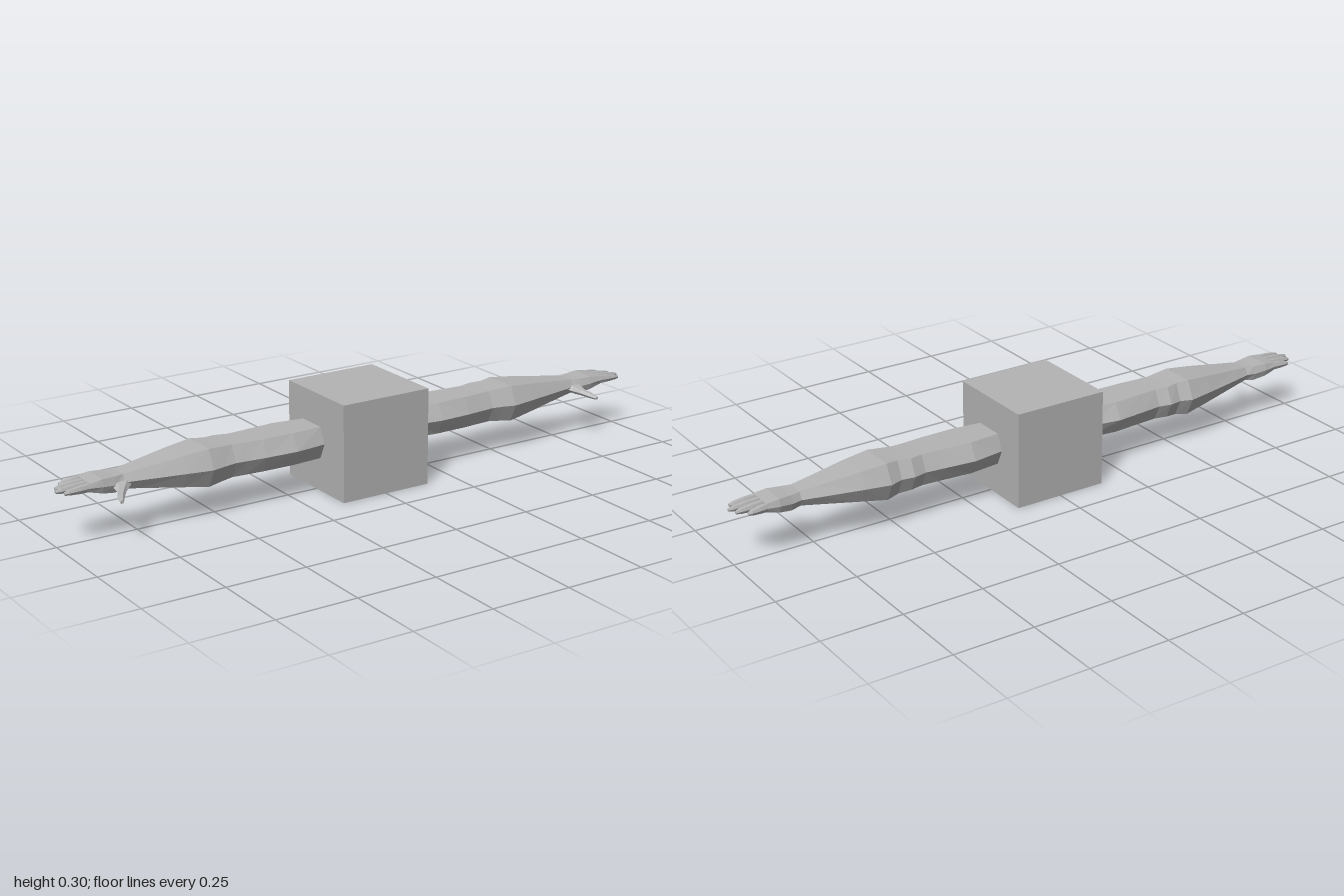
import * as THREE from 'three';

const grey = new THREE.MeshStandardMaterial({ color: 0xb4b4b4, flatShading: true });
grey.name = 'plain grey';

// Closed skin over rings of points; side = -1 mirrors it across x
function loft(rings, side) {
  const pos = [];
  const tri = (a, b, c) => {
    for (const p of side > 0 ? [a, b, c] : [a, c, b]) pos.push(p[0] * side, p[1], p[2]);
  };
  const n = rings[0].length;
  for (let r = 0; r < rings.length - 1; r++) {
    const a = rings[r], b = rings[r + 1];
    for (let i = 0; i < n; i++) {
      const j = (i + 1) % n;
      tri(a[i], a[j], b[j]);
      tri(a[i], b[j], b[i]);
    }
  }
  const first = rings[0], last = rings[rings.length - 1];
  for (let i = 1; i < n - 1; i++) {
    tri(first[0], first[i + 1], first[i]);
    tri(last[0], last[i], last[i + 1]);
  }
  const geo = new THREE.BufferGeometry();
  geo.setAttribute('position', new THREE.Float32BufferAttribute(pos, 3));
  geo.computeVertexNormals();
  return geo;
}

// Six-sided section across x: side ridges at mid height, flat top and bottom
const section = ([x, top, bottom, front, back, flat = 0.68]) => {
  const y = (top + bottom) / 2, c = (front + back) / 2;
  const f = c + (front - c) * flat, b = c + (back - c) * flat;
  return [[x, y, back], [x, top, b], [x, top, f], [x, y, front], [x, bottom, f], [x, bottom, b]];
};

// x, top, bottom, front z, back z, share of width that is flat
const armSections = [
  [0.16, 0.207, 0.11, 0.062, -0.077],
  [0.26, 0.208, 0.11, 0.075, -0.093],
  [0.36, 0.208, 0.11, 0.071, -0.083],
  [0.42, 0.208, 0.11, 0.065, -0.077],
  [0.46, 0.209, 0.11, 0.063, -0.087],
  [0.50, 0.211, 0.106, 0.068, -0.079],
  [0.54, 0.214, 0.10, 0.075, -0.09],
  [0.62, 0.206, 0.113, 0.066, -0.078],
  [0.75, 0.19, 0.133, 0.045, -0.052],
  [0.80, 0.184, 0.14, 0.037, -0.041],
];

const handSections = [
  [0.80, 0.184, 0.14, 0.037, -0.041, 0.7],
  [0.83, 0.184, 0.137, 0.041, -0.045, 0.8],
  [0.87, 0.186, 0.144, 0.045, -0.05, 0.85],
  [0.91, 0.181, 0.156, 0.045, -0.048, 0.88],
];

// centre z at the base, centre z at the tip, tip x
const fingers = [
  ['indexFinger', 0.033, 0.037, 0.985],
  ['middleFinger', 0.01, 0.011, 1.0],
  ['ringFinger', -0.013, -0.015, 0.99],
  ['littleFinger', -0.036, -0.042, 0.965],
];

// Thumb section across z: z, centre x, centre y, half width, half height
const thumbSections = [
  [0.025, 0.81, 0.159, 0.036, 0.014],
  [0.043, 0.812, 0.154, 0.026, 0.013],
  [0.06, 0.822, 0.147, 0.014, 0.01],
  [0.08, 0.836, 0.14, 0.012, 0.009],
  [0.103, 0.845, 0.134, 0.006, 0.005],
];

function makeArm(side, name) {
  const group = new THREE.Group();
  group.name = name;
  const add = (part, rings) => {
    const mesh = new THREE.Mesh(loft(rings, side), grey);
    mesh.name = part;
    group.add(mesh);
  };
  add('arm', armSections.map(section));
  add('palm', handSections.map(section));

  // Fingers narrow and droop slightly towards the tip
  for (const [part, z0, z1, tip] of fingers) {
    const rings = [[0, 0.011, 0.181, 0.157], [0.5, 0.0105, 0.178, 0.158],
      [0.85, 0.008, 0.174, 0.16], [1, 0.005, 0.17, 0.162]].map(([t, w, top, bottom]) => {
      const z = z0 + (z1 - z0) * t;
      return section([0.895 + (tip - 0.895) * t, top, bottom, z + w, z - w, 0.6]);
    });
    add(part, rings);
  }

  // Thumb points forward and down from the palm
  add('thumb', thumbSections.map(([z, x, y, w, h]) =>
    Array.from({ length: 6 }, (_, i) => {
      const a = (i * Math.PI) / 3;
      return [x + w * Math.cos(a), y + h * Math.sin(a), z];
    })));
  return group;
}

export function createModel() {
  const model = new THREE.Group();
  model.name = 'cubeWithArms';

  // Central block
  const block = new THREE.Mesh(new THREE.BoxGeometry(0.3, 0.3, 0.3), grey);
  block.name = 'block';
  block.position.y = 0.15;
  model.add(block);

  // Pair of mirrored arms
  model.add(makeArm(1, 'leftArm'), makeArm(-1, 'rightArm'));
  return model;
}
